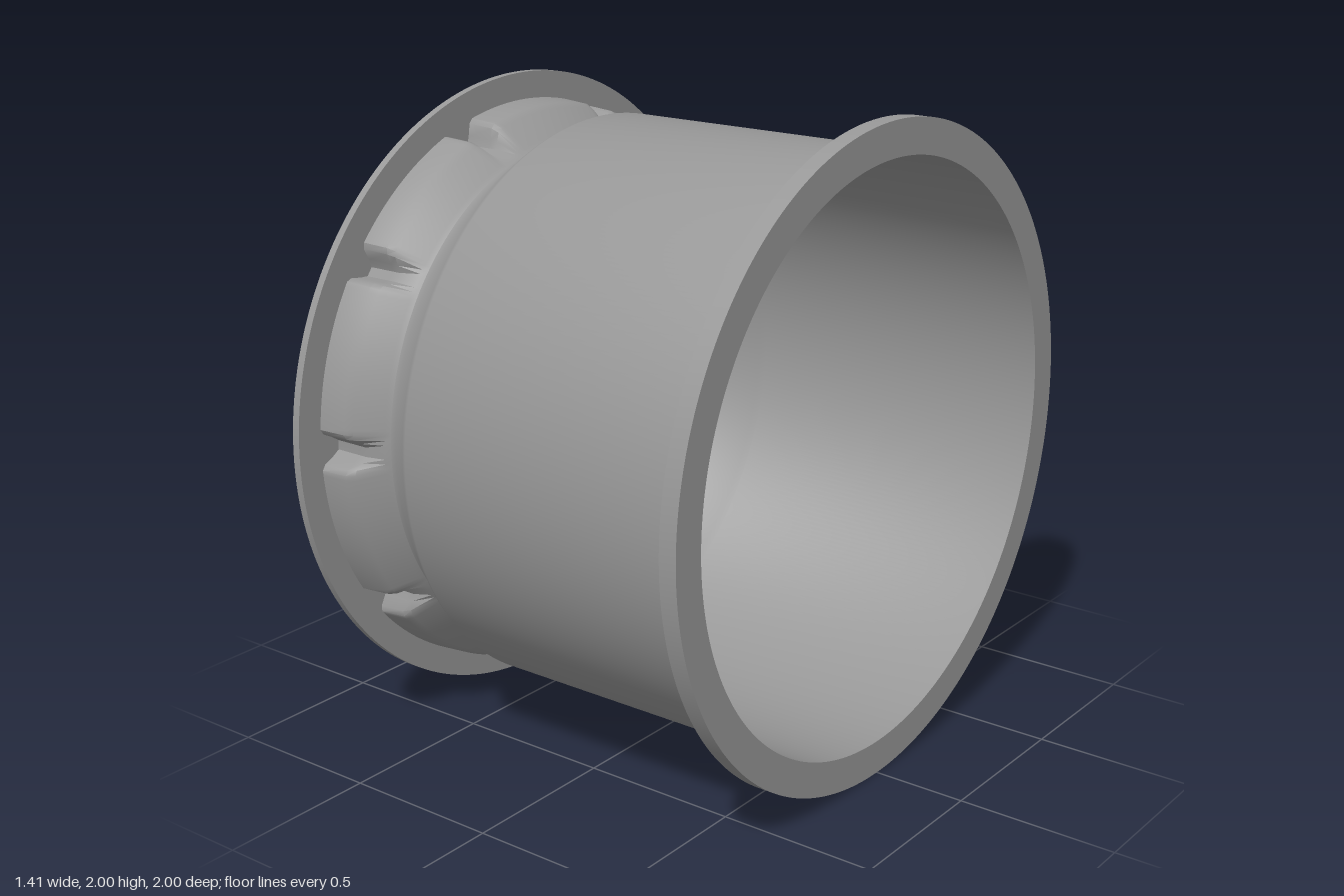
import * as THREE from 'three';
import { toCreasedNormals } from 'three/addons/utils/BufferGeometryUtils.js';

const material = new THREE.MeshStandardMaterial({ color: 0x989898 });
const V2 = (p) => new THREE.Vector2(p[0], p[1]);

function add(parent, name, geometry) {
  const mesh = new THREE.Mesh(geometry, material);
  mesh.name = name;
  parent.add(mesh);
  return mesh;
}

// Lathe about the x axis from [radius, x] points
function latheX(points, segments) {
  return new THREE.LatheGeometry(points.map(V2), segments).rotateZ(-Math.PI / 2);
}

// Rim: one closed profile, pinched inwards at the ten spoke tips so pockets bulge between them
function rimGeometry() {
  const profile = [
    [0.925, -0.705], [1, -0.705], [1, -0.68], [0.915, -0.68], [0.908, -0.59], [0.895, -0.565],
    [0.83, -0.5], [0.82, -0.485], [0.822, -0.465], [0.89, -0.37], [0.9, -0.35], [0.9, 0.65],
    [1, 0.65], [1, 0.705], [0.893, 0.705], [0.89, -0.35], [0.88, -0.37],
    [0.812, -0.455], [0.805, -0.485], [0.812, -0.505], [0.868, -0.57], [0.885, -0.66], [0.925, -0.705],
  ];
  const g = latheX(profile, 360);
  const p = g.attributes.position;
  const step = Math.PI / 5;
  const innerFrom = 19; // profile index where the pocket's inner wall begins
  for (let i = 0; i < p.count; i++) {
    const k = i % profile.length;
    const y = p.getY(i), z = p.getZ(i), r = Math.hypot(y, z);
    const a = Math.atan2(z, y);
    const d = Math.abs(((a % step) + step) % step - step / 2);
    let target = r;
    if (k >= 3 && k <= 6) {
      target = THREE.MathUtils.lerp(Math.min(r, 0.845), r, THREE.MathUtils.smoothstep(d, 0.015, 0.065));
    } else if (k >= innerFrom || k === 0) {
      target = THREE.MathUtils.lerp(Math.min(r, 0.805), r, THREE.MathUtils.smoothstep(d, 0.03, 0.09));
    }
    p.setY(i, y * target / r);
    p.setZ(i, z * target / r);
  }
  g.deleteAttribute('uv');
  return toCreasedNormals(g, 0.6);
}

// One arm of a forked spoke, lofted from the hub outwards; side = 1 or -1
function armGeometry(side) {
  // inner edge z, y; outer edge z, y; front x, back x
  const stations = [
    [0, 0.18, 0.085, 0.18, -0.46, -0.36],
    [0, 0.34, 0.13, 0.335, -0.485, -0.375],
    [0, 0.44, 0.142, 0.41, -0.515, -0.39],
    [0.045, 0.46, 0.157, 0.46, -0.535, -0.405],
    [0.1, 0.54, 0.185, 0.55, -0.575, -0.43],
    [0.163, 0.675, 0.235, 0.68, -0.635, -0.465],
    [0.205, 0.76, 0.276, 0.75, -0.68, -0.48],
    [0.215, 0.785, 0.292, 0.765, -0.7, -0.485],
  ];
  const curve = (f) => new THREE.CatmullRomCurve3(stations.map(f));
  const inner = curve((s) => new THREE.Vector3(0, s[1], s[0]));
  const outer = curve((s) => new THREE.Vector3(0, s[3], s[2]));
  const depth = curve((s) => new THREE.Vector3(s[4], s[5], 0));
  const rows = 28, pos = [], index = [], bevel = 0.012;
  for (let i = 0; i <= rows; i++) {
    const a = inner.getPoint(i / rows), b = outer.getPoint(i / rows), d = depth.getPoint(i / rows);
    const za = Math.max(0, a.z), ba = Math.min(bevel, za);
    const loop = [
      [d.x, a.y, za + ba], [d.x, b.y, b.z - bevel], [d.x + bevel, b.y, b.z],
      [d.y - bevel, b.y, b.z], [d.y, b.y, b.z - bevel], [d.y, a.y, za + ba],
      [d.y - ba, a.y, za], [d.x + ba, a.y, za],
    ];
    loop.forEach(([x, y, z]) => pos.push(x, y, z * side));
  }
  const n = 8;
  for (let i = 0; i < rows; i++) {
    for (let j = 0; j < n; j++) {
      const a = i * n + j, b = i * n + (j + 1) % n, c = b + n, d = a + n;
      if (side > 0) index.push(a, b, c, a, c, d);
      else index.push(a, c, b, a, d, c);
    }
  }
  const g = new THREE.BufferGeometry();
  g.setAttribute('position', new THREE.Float32BufferAttribute(pos, 3));
  g.setIndex(index);
  return toCreasedNormals(g, 0.9);
}

// Cylinder between two points
function rod(from, to, r0, r1) {
  const dir = to.clone().sub(from);
  const g = new THREE.CylinderGeometry(r1, r0, dir.length(), 16);
  g.applyQuaternion(new THREE.Quaternion().setFromUnitVectors(new THREE.Vector3(0, 1, 0), dir.clone().normalize()));
  const mid = from.clone().add(to).multiplyScalar(0.5);
  return g.translate(mid.x, mid.y, mid.z);
}

export function createModel() {
  const model = new THREE.Group();
  model.name = 'wheel';
  const wheel = new THREE.Group();
  wheel.name = 'wheelAssembly';
  wheel.position.y = 1;
  model.add(wheel);

  add(wheel, 'rim', rimGeometry());

  // Five forked spokes
  const arms = [armGeometry(1), armGeometry(-1)];
  for (let i = 0; i < 5; i++) {
    const spoke = new THREE.Group();
    spoke.name = 'forkedSpoke';
    spoke.rotation.x = i * Math.PI * 2 / 5;
    arms.forEach((g) => add(spoke, 'spokeArm', g));
    wheel.add(spoke);
  }

  // Hub with its flat mounting pad at the back
  add(wheel, 'hub', toCreasedNormals(latheX([
    [0, -0.455], [0.22, -0.455], [0.26, -0.45], [0.31, -0.42], [0.333, -0.385], [0.333, -0.335], [0, -0.335],
  ], 64), 0.5));

  // Toothed centre lock nut and its cap
  const nut = new THREE.Group();
  nut.name = 'centreNut';
  wheel.add(nut);
  add(nut, 'nutWasher', toCreasedNormals(latheX([
    [0, -0.475], [0.175, -0.475], [0.185, -0.465], [0.185, -0.44],
  ], 48), 0.5));
  add(nut, 'nutBody', toCreasedNormals(latheX([
    [0, -0.52], [0.125, -0.52], [0.135, -0.51], [0.135, -0.46],
  ], 48), 0.5));
  const tooth = new THREE.BoxGeometry(0.05, 0.035, 0.03).translate(-0.495, 0.145, 0);
  for (let i = 0; i < 18; i++) {
    add(nut, 'nutTooth', tooth).rotation.x = i * Math.PI / 9;
  }
  add(nut, 'nutCap', toCreasedNormals(latheX([
    [0, -0.645], [0.085, -0.645], [0.095, -0.635], [0.1, -0.5],
  ], 40), 0.5));

  // Tyre valve in the lowest pocket
  const base = new THREE.Vector3(-0.535, -0.87, 0), tip = new THREE.Vector3(-0.66, -0.785, 0);
  const at = (t) => base.clone().lerp(tip, t);
  add(wheel, 'valveBase', rod(at(0), at(0.3), 0.028, 0.024));
  add(wheel, 'valveStem', rod(at(0.25), at(0.7), 0.013, 0.013));
  add(wheel, 'valveCap', rod(at(0.65), at(1), 0.019, 0.016));

  return model;
}
